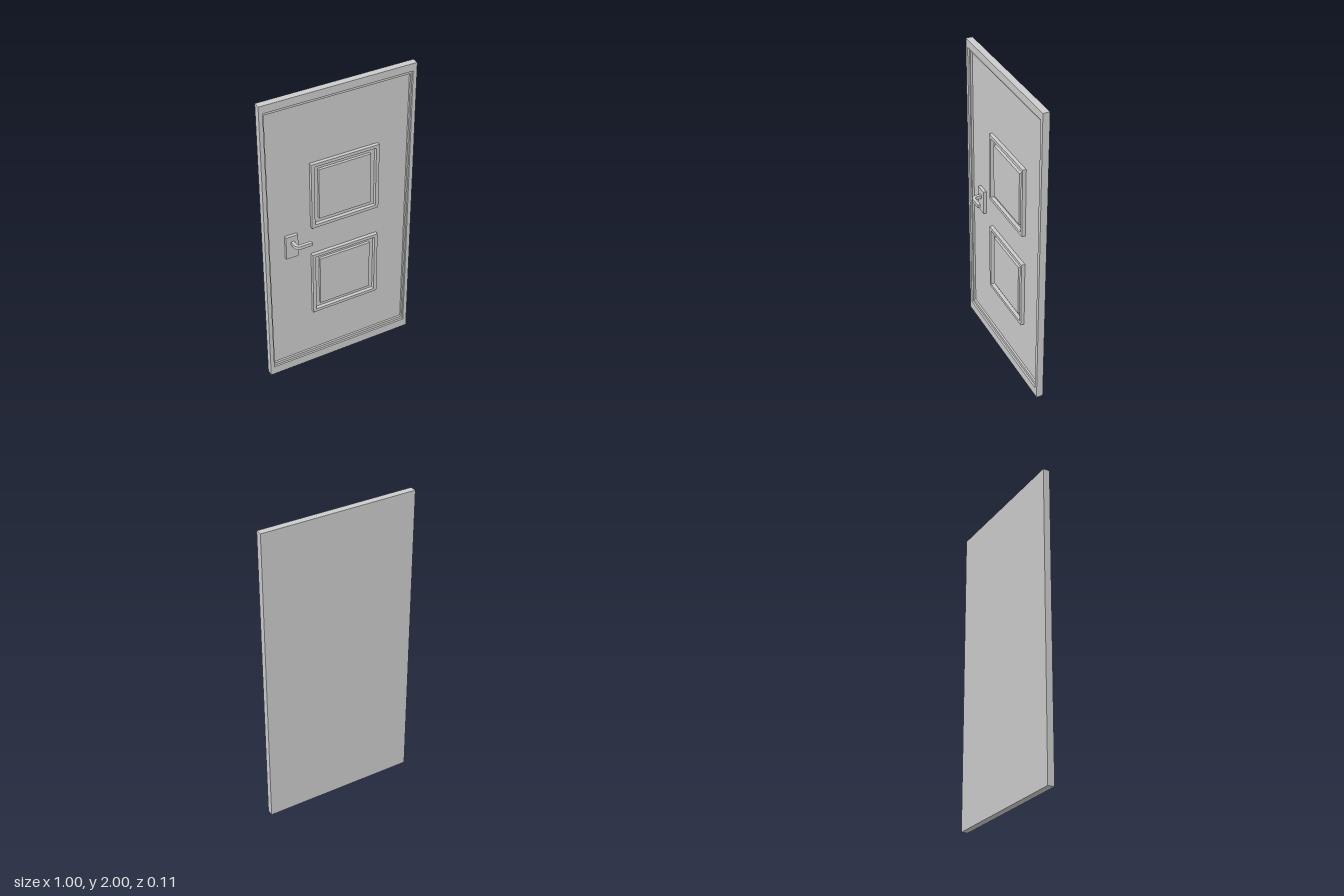
import * as THREE from 'three';

const material = new THREE.MeshStandardMaterial({ color: 0xcccccc, flatShading: true });

const FLOOR = -0.035; // face of the recessed door leaf
const FRONT = -0.01;  // face of the outer border
const BACK = -0.053;

function addMesh(parent, name, geometry) {
  const mesh = new THREE.Mesh(geometry, material);
  mesh.name = name;
  parent.add(mesh);
  return mesh;
}

// Box given by its bounds
function block(parent, name, [x0, x1, y0, y1], z0, z1) {
  const mesh = addMesh(parent, name, new THREE.BoxGeometry(x1 - x0, y1 - y0, z1 - z0));
  mesh.position.set((x0 + x1) / 2, (y0 + y1) / 2, (z0 + z1) / 2);
}

function trace(path, [x0, x1, y0, y1]) {
  path.moveTo(x0, y0);
  path.lineTo(x1, y0);
  path.lineTo(x1, y1);
  path.lineTo(x0, y1);
  path.closePath();
  return path;
}

// Rectangular ring between two bounds
function ring(parent, name, outer, inner, z0, z1) {
  const shape = trace(new THREE.Shape(), outer);
  shape.holes.push(trace(new THREE.Path(), inner));
  const geometry = new THREE.ExtrudeGeometry(shape, { depth: z1 - z0, bevelEnabled: false });
  addMesh(parent, name, geometry.translate(0, 0, z0));
}

export function createModel() {
  const door = new THREE.Group();
  door.name = 'door';

  // Leaf with a stepped border around its recessed face
  const edge = [-0.5, 0.5, 0, 2];
  const opening = [-0.475, 0.475, 0.06, 1.95];
  const ledge = [-0.465, 0.465, 0.08, 1.93];
  block(door, 'leaf', edge, BACK, FLOOR);
  ring(door, 'border', edge, opening, FLOOR, FRONT);
  ring(door, 'borderStep', opening, ledge, FLOOR, -0.022);

  // Two square panels: raised moulding around a raised field
  for (const [name, y] of [['lowerPanel', 0.398], ['upperPanel', 1.06]]) {
    const panel = new THREE.Group();
    panel.name = name;
    const inset = (d) => [-0.187 + d, 0.265 - d, y + d, y + 0.457 - d];
    ring(panel, 'moulding', inset(0), inset(0.021), FLOOR, -0.012);
    block(panel, 'field', inset(0.053), FLOOR, -0.018);
    door.add(panel);
  }

  // Back plate and bent lever
  const handle = new THREE.Group();
  handle.name = 'handle';
  block(handle, 'backPlate', [-0.36, -0.28, 0.89, 1.05], FLOOR, -0.015);

  // Lever outline seen from above: x, z
  const lever = new THREE.Shape();
  lever.moveTo(-0.328, FLOOR);
  lever.lineTo(-0.307, FLOOR);
  lever.lineTo(-0.307, 0.015);
  lever.quadraticCurveTo(-0.307, 0.032, -0.29, 0.032);
  lever.lineTo(-0.22, 0.032);
  lever.lineTo(-0.217, 0.052);
  lever.lineTo(-0.292, 0.052);
  lever.quadraticCurveTo(-0.328, 0.05, -0.328, 0.015);
  const geometry = new THREE.ExtrudeGeometry(lever, { depth: 0.022, bevelEnabled: false, curveSegments: 6 });
  geometry.rotateX(Math.PI / 2).translate(0, 1.011, 0);
  addMesh(handle, 'lever', geometry);
  door.add(handle);

  return door;
}
